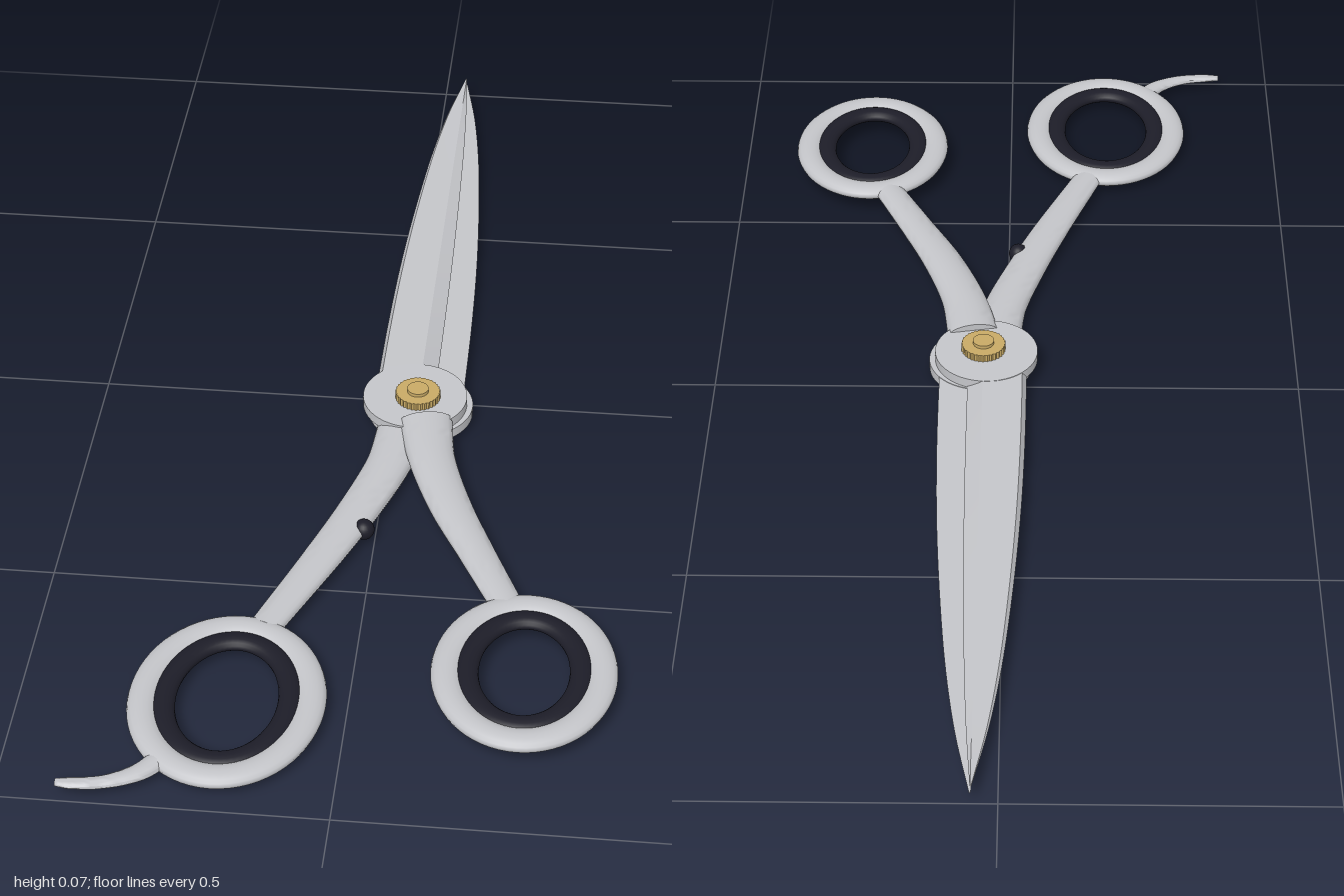
import * as THREE from 'three';
import { mergeVertices, toCreasedNormals } from 'three/addons/utils/BufferGeometryUtils.js';

const V = (x, y, z) => new THREE.Vector3(x, y, z);

// Skin a list of closed cross-sections and cap both ends
function loft(rings, crease = 0.6) {
  const n = rings[0].length, pos = [], idx = [];
  rings.forEach(r => r.forEach(p => pos.push(p.x, p.y, p.z)));
  for (let i = 0; i < rings.length - 1; i++) for (let j = 0; j < n; j++) {
    const a = i * n + j, b = i * n + (j + 1) % n;
    idx.push(a, b, b + n, a, b + n, a + n);
  }
  [0, rings.length - 1].forEach((k, end) => {
    const c = rings[k].reduce((s, p) => s.add(p), V(0, 0, 0)).divideScalar(n);
    const ci = pos.length / 3;
    pos.push(c.x, c.y, c.z);
    for (let j = 0; j < n; j++) {
      const a = k * n + j, b = k * n + (j + 1) % n;
      idx.push(ci, ...(end ? [a, b] : [b, a]));
    }
  });
  const g = new THREE.BufferGeometry();
  g.setAttribute('position', new THREE.Float32BufferAttribute(pos, 3));
  g.setIndex(idx);
  return toCreasedNormals(g, crease);
}

// Elliptical bar along a path; each stop is [x, y, z, halfWidth, halfHeight]
function bar(stops, steps = 32, sides = 20) {
  const curve = new THREE.CatmullRomCurve3(stops.map(s => V(s[0], s[1], s[2])));
  const rings = [];
  for (let i = 0; i <= steps; i++) {
    const t = i / steps, f = Math.min(t * (stops.length - 1), stops.length - 1.0001);
    const k = Math.floor(f), mix = m => THREE.MathUtils.lerp(stops[k][m], stops[k + 1][m], f - k);
    const c = curve.getPoint(t), side = V(0, 1, 0).cross(curve.getTangent(t)).normalize();
    rings.push(Array.from({ length: sides }, (_, j) => {
      const a = j / sides * Math.PI * 2;
      return c.clone().addScaledVector(side, Math.cos(a) * mix(3)).add(V(0, Math.sin(a) * mix(4), 0));
    }));
  }
  return loft(rings, 0.9);
}

// Oval ring lying flat, with an elliptical section (a wide, b high)
function ovalRing(rx, rz, a, b) {
  const g = new THREE.TorusGeometry(1, 0.3, 16, 64);
  g.rotateX(-Math.PI / 2);
  const p = g.attributes.position;
  for (let i = 0; i < p.count; i++) {
    const x = p.getX(i), y = p.getY(i), z = p.getZ(i), r = Math.hypot(x, z);
    const off = (r - 1) / 0.3 * a;
    p.setXYZ(i, x / r * (rx + off), y / 0.3 * b, z / r * (rz + off));
  }
  g.deleteAttribute('uv');
  g.deleteAttribute('normal');
  const m = mergeVertices(g, 1e-5);
  m.computeVertexNormals();
  return m;
}

// Blade: outer spine, flat inner face, bevel to the cutting edge; side -1 is the upper blade
function blade(side) {
  const outline = new THREE.CatmullRomCurve3([[-1, 0.002], [-0.88, 0.025], [-0.75, 0.042], [-0.6, 0.055],
    [-0.4, 0.067], [-0.2, 0.073], [0.06, 0.075]].map(([z, w]) => V(w, 0, z)));
  const rings = [];
  for (let i = 0; i <= 30; i++) {
    const { x: w, z } = outline.getPoint(i / 30), t = Math.min(1, -Math.min(z, 0));
    const y0 = 0.001 + 0.005 * t, y1 = 0.017 - 0.008 * t;
    const sec = [[-w, y0], [0.35 * w, y0], [0, y1], [-0.9 * w, y1 - 0.001]];
    rings.push(sec.map(([x, y]) => V(0.04 - side * x, 0.03 - side * y, z)));
  }
  return loft(rings, 0.35);
}

export function createModel() {
  const root = new THREE.Group();
  root.name = 'scissors';
  const mat = (name, color) => Object.assign(new THREE.MeshStandardMaterial({ color }), { name });
  const steel = mat('steel', 0xc4c5c9), gold = mat('brass', 0xc8aa66), rubber = mat('black rubber', 0x1d1d28);
  const add = (parent, name, geo, material, x = 0, y = 0, z = 0) => {
    const m = new THREE.Mesh(geo, material);
    m.name = name;
    m.position.set(x, y, z);
    parent.add(m);
    return m;
  };
  const cyl = (r, h, n = 48) => new THREE.CylinderGeometry(r, r, h, n);

  const halves = [
    { name: 'upperHalf', side: -1, discX: 0.035, discY: 0.0385,
      ring: [0.262, 0.039, 0.70, 0.142, 0.172],
      arm: [[0.058, 0.039, 0.10, 0.045, 0.02], [0.077, 0.039, 0.20, 0.039, 0.019], [0.118, 0.039, 0.32, 0.035, 0.017],
        [0.168, 0.039, 0.43, 0.03, 0.014], [0.226, 0.039, 0.553, 0.026, 0.012]] },
    { name: 'lowerHalf', side: 1, discX: 0.045, discY: 0.0215,
      ring: [-0.18, 0.023, 0.788, 0.15, 0.186],
      arm: [[0.022, 0.022, 0.10, 0.045, 0.022], [0.006, 0.022, 0.20, 0.038, 0.02], [-0.03, 0.022, 0.32, 0.035, 0.017],
        [-0.073, 0.023, 0.44, 0.032, 0.014], [-0.145, 0.023, 0.622, 0.026, 0.012]] },
  ];
  for (const h of halves) {
    const g = new THREE.Group();
    g.name = h.name;
    root.add(g);
    add(g, 'blade', blade(h.side), steel);
    add(g, 'pivotDisc', cyl(0.088, 0.017), steel, h.discX, h.discY, 0.042);
    add(g, 'handleArm', bar(h.arm), steel);
    const [x, y, z, rx, rz] = h.ring;
    add(g, 'fingerRing', ovalRing(rx - 0.023, rz - 0.023, 0.023, 0.0125), steel, x, y, z);
    add(g, 'ringInsert', ovalRing(rx - 0.055, rz - 0.055, 0.018, 0.0115), rubber, x, y, z);
  }

  // Curved finger rest on the lower ring
  add(root, 'fingerRest', bar([[-0.255, 0.023, 0.915, 0.019, 0.010], [-0.285, 0.023, 0.952, 0.016, 0.009],
    [-0.335, 0.023, 0.978, 0.012, 0.007], [-0.385, 0.023, 0.985, 0.011, 0.005], [-0.405, 0.023, 0.985, 0.007, 0.004]], 24, 14), steel);

  // Bumper between the handles
  add(root, 'bumper', new THREE.SphereGeometry(0.017, 20, 14), rubber, -0.017, 0.023, 0.372);

  // Knurled pivot screw
  const knurl = new THREE.CylinderGeometry(0.038, 0.038, 0.014, 64).toNonIndexed();
  const p = knurl.attributes.position;
  for (let i = 0; i < p.count; i++) {
    const k = Math.round(Math.atan2(p.getZ(i), p.getX(i)) / (Math.PI * 2) * 64) + 64;
    const s = k % 2 ? 0.95 : 1;
    p.setX(i, p.getX(i) * s);
    p.setZ(i, p.getZ(i) * s);
  }
  knurl.computeVertexNormals();
  add(root, 'pivotScrew', knurl, gold, 0.04, 0.053, 0.046);
  add(root, 'screwCap', cyl(0.018, 0.008, 32), gold, 0.04, 0.062, 0.046);
  return root;
}
